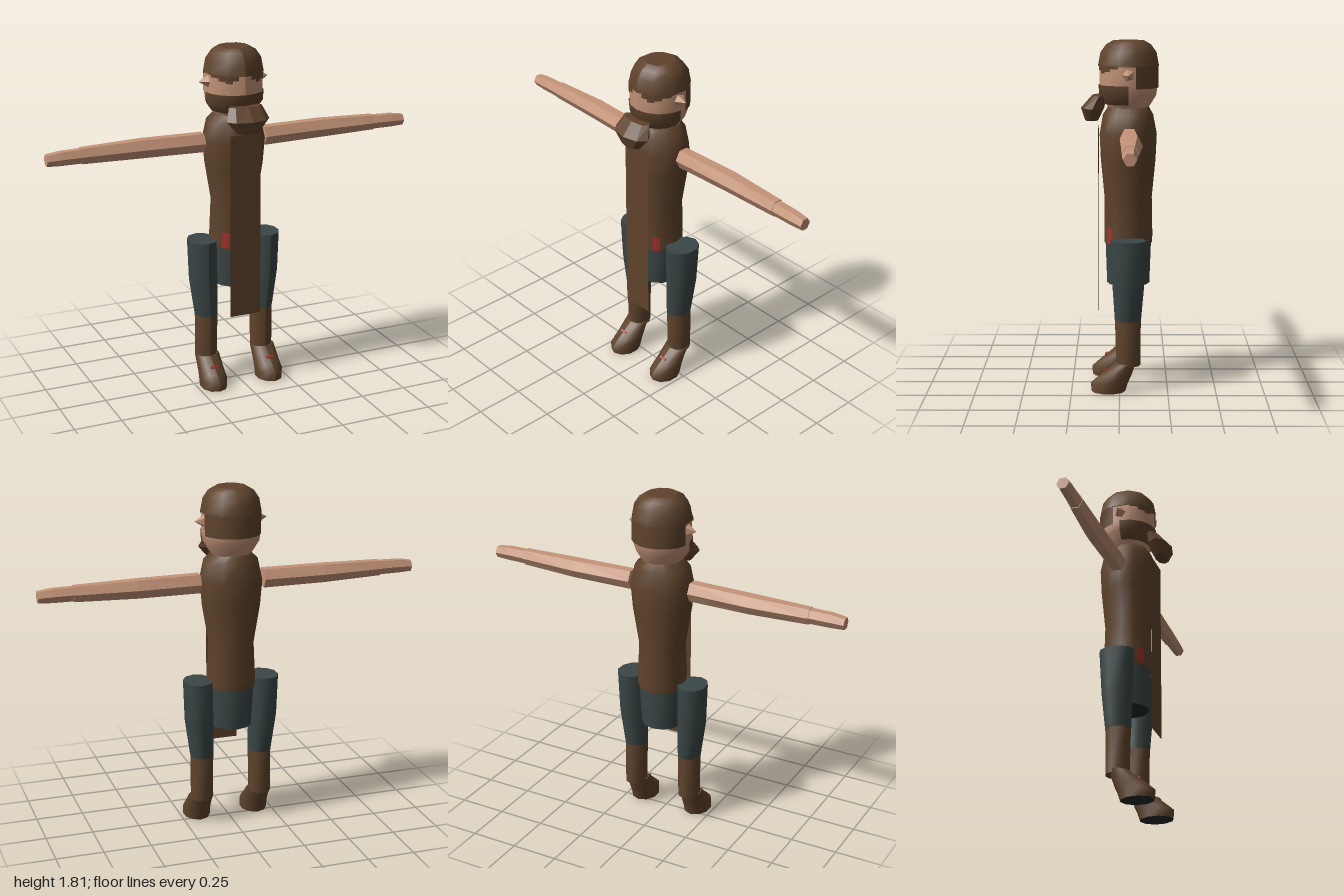
import * as THREE from 'three';

const mat = (name, color, side = THREE.FrontSide) => {
  const m = new THREE.MeshStandardMaterial({ color, side });
  m.name = name;
  return m;
};

export function createModel() {
  const brown = mat('brown cloth and hair', 0x5f432c, THREE.DoubleSide);
  const skin = mat('skin', 0xc49478);
  const teal = mat('dark teal trousers', 0x3b4646);
  const red = mat('red trim', 0xa03228, THREE.DoubleSide);
  const sole = mat('dark sole', 0x23282b);

  const model = new THREE.Group();
  const add = (name, geometry, material, parent = model) => {
    const mesh = new THREE.Mesh(geometry, material);
    mesh.name = name;
    parent.add(mesh);
    return mesh;
  };

  // Elliptical loft; sections run top to bottom as [y, centreZ, radiusX, radiusZ, centreX]
  const loft = (sections, sides, { open = false, start = 0, length = Math.PI * 2, flat = false } = {}) => {
    const rows = sections.length - 1;
    let g = new THREE.CylinderGeometry(1, 1, 1, sides, rows, open, start, length);
    const p = g.attributes.position;
    for (let i = 0; i < p.count; i++) {
      const [y, cz, rx, rz, cx = 0] = sections[Math.round((0.5 - p.getY(i)) * rows)];
      p.setXYZ(i, cx + p.getX(i) * rx, y, cz + p.getZ(i) * rz);
    }
    if (flat) g = g.toNonIndexed();
    g.computeVertexNormals();
    return g;
  };

  // Curved plate on the surface between two angles in degrees (0 is front, 90 is left)
  const plate = (sections, from, to, sides = 8) => loft(sections, sides, {
    open: true,
    start: THREE.MathUtils.degToRad(from),
    length: THREE.MathUtils.degToRad(to - from),
  });

  // Torso and hips
  add('tunic', loft([
    [1.48, -0.045, 0.09, 0.1], [1.43, -0.043, 0.145, 0.13], [1.33, -0.044, 0.167, 0.148],
    [1.2, -0.044, 0.155, 0.142], [1.0, -0.044, 0.12, 0.123], [0.8, -0.045, 0.13, 0.126],
    [0.76, -0.045, 0.128, 0.124],
  ], 12), brown);
  add('hips', loft([[0.77, -0.045, 0.122, 0.119], [0.545, -0.045, 0.108, 0.111]], 12),
    [teal, teal, sole]);

  // Long front panel
  const panel = new THREE.PlaneGeometry(0.17, 0.98);
  panel.translate(0, 0.89, 0.11);
  add('frontPanel', panel, brown);

  // Head
  const head = new THREE.Group();
  head.name = 'head';
  model.add(head);
  add('face', loft([
    [1.69, -0.045, 0.15, 0.15], [1.58, -0.045, 0.15, 0.15], [1.53, -0.045, 0.145, 0.143],
    [1.46, -0.045, 0.1, 0.1],
  ], 10), skin, head);
  add('hairCap', loft([
    [1.81, -0.045, 0.08, 0.08], [1.79, -0.045, 0.115, 0.115], [1.75, -0.045, 0.142, 0.144],
    [1.68, -0.045, 0.155, 0.157],
  ], 10), brown, head);
  add('backHair', plate([[1.685, -0.045, 0.154, 0.154], [1.57, -0.045, 0.154, 0.154]], 104, 256), brown, head);
  add('beard', plate([
    [1.585, -0.045, 0.155, 0.155], [1.53, -0.045, 0.152, 0.15], [1.485, -0.045, 0.12, 0.12],
  ], -90, 90), brown, head);
  add('beardTip', loft([
    [1.53, 0.105, 0.09, 0.038], [1.465, 0.14, 0.117, 0.06], [1.4, 0.145, 0.06, 0.034],
  ], 8, { flat: true }), brown, head);

  for (const s of [1, -1]) {
    // Ear and ragged fringe
    const ear = new THREE.ConeGeometry(0.035, 0.055, 5).toNonIndexed();
    ear.computeVertexNormals();
    ear.rotateZ(-s * Math.PI / 2);
    ear.translate(s * 0.165, 1.64, -0.045);
    add('ear', ear, skin, head);
    for (const [a, b, low] of [[13, 24, 1.66], [24, 38, 1.645], [38, 52, 1.655], [52, 70, 1.67]]) {
      add('fringe', plate([[1.685, -0.045, 0.154, 0.154], [low, -0.045, 0.154, 0.154]],
        s > 0 ? a : -b, s > 0 ? b : -a, 3), brown, head);
    }

    // Arm and hand, lofted upright then turned outwards
    const limb = (sections) => loft(
      sections.map(([x, y, z, ry, rz]) => [x, z, ry / 0.866, rz, -s * y]), 6, { flat: true },
    ).rotateZ(-s * Math.PI / 2);
    add('arm', limb([
      [0.82, 1.325, -0.053, 0.039, 0.041], [0.5, 1.325, -0.06, 0.046, 0.053],
      [0.17, 1.323, -0.05, 0.048, 0.05],
    ]), skin);
    add('hand', limb([
      [1.0, 1.321, -0.05, 0.028, 0.032], [0.93, 1.324, -0.05, 0.034, 0.036],
      [0.82, 1.325, -0.052, 0.035, 0.038],
    ]), skin);

    // Leg, boot shaft and foot
    add('trouserLeg', loft([
      [0.8, -0.046, 0.078, 0.094, s * 0.178], [0.58, -0.045, 0.074, 0.083, s * 0.175],
      [0.38, -0.043, 0.061, 0.068, s * 0.16],
    ], 10), teal);
    add('bootShaft', loft([
      [0.385, -0.043, 0.06, 0.067, s * 0.16], [0.14, -0.045, 0.058, 0.063, s * 0.162],
    ], 10), brown);
    add('foot', loft([
      [0.155, -0.033, 0.066, 0.053, s * 0.162], [0.08, 0.025, 0.068, 0.085, s * 0.162],
      [0.045, 0.053, 0.072, 0.097, s * 0.162], [0, 0.058, 0.071, 0.088, s * 0.162],
    ], 10), [brown, brown, sole]);

    // Red trim on the instep and at the waist
    const mark = add('bootMark', new THREE.BoxGeometry(0.04, 0.012, 0.006), red);
    mark.position.set(s * 0.162, 0.112, 0.073);
    mark.rotation.x = -0.88;
    add('waistTrim', plate([[0.85, -0.045, 0.133, 0.13], [0.765, -0.045, 0.135, 0.131]],
      s > 0 ? 32 : -49, s > 0 ? 49 : -32, 3), red);
  }
  return model;
}
